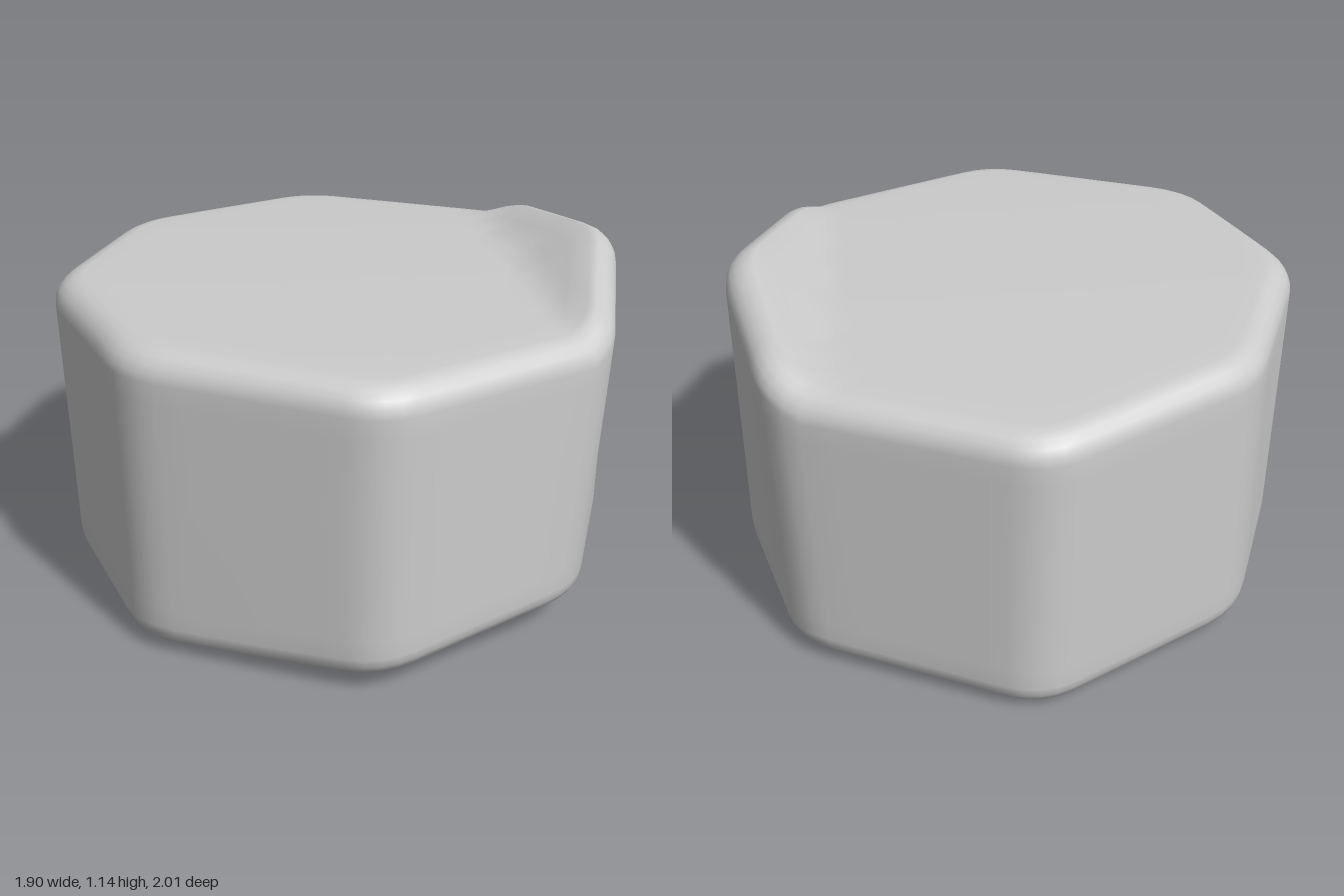
import * as THREE from 'three';

// Corners of the eight-sided block as [x, z], from the back round by +x
const TOP = [[-0.01, -1.03], [0.805, -0.65], [0.965, 0], [0.765, 0.675],
  [0.01, 1.03], [-0.738, 0.66], [-0.972, 0], [-0.7, -0.655]];
const BOTTOM = [[0, -1.03], [0.765, -0.668], [0.965, 0], [0.7, 0.705],
  [0.01, 1.03], [-0.725, 0.66], [-0.95, 0], [-0.7, -0.65]];
const BEVEL = 0.09;

// Uneven top: gentle tilt with the +x corner folded upward
const topY = (x, z) =>
  1.045 - 0.02 * x + 0.025 * z - 0.02 * z * z + 0.55 * Math.max(0, x - 0.64);
// Uneven underside, lowest at the back
const bottomY = (x, z) =>
  0.035 + 0.03 * z + 0.09 * x * Math.max(0, z) + 0.015 * x * x;

// Octagon outline with softly rounded corners
function outline(corners) {
  const pts = [];
  const v = corners.map(([x, z]) => new THREE.Vector2(x, z));
  const n = v.length;
  const toward = (a, b) => a.clone().add(b.clone().sub(a).setLength(0.12));
  v.forEach((c, i) => {
    const next = v[(i + 1) % n];
    const end = toward(c, next);
    const round = new THREE.QuadraticBezierCurve(toward(c, v[(i + n - 1) % n]), c, end);
    pts.push(...round.getPoints(4));
    const nextStart = toward(next, c);
    for (const t of [0.15, 0.5, 0.85]) pts.push(end.clone().lerp(nextStart, t));
  });
  return pts;
}

function blockGeometry() {
  const low = outline(BOTTOM), high = outline(TOP), n = low.length;
  const positions = [], index = [];
  let rings = 0;

  // One ring: outline blended by mix, shrunk by scale, placed by height(x, z)
  const addRing = (mix, scale, height) => {
    for (let j = 0; j < n; j++) {
      const p = low[j].clone().lerp(high[j], mix);
      const x = p.x * scale, z = p.y * scale;
      positions.push(x, height(x, z, p), z);
    }
    rings++;
  };
  const inner = 1 - BEVEL / 0.9;
  const bevelScale = a => 1 - (1 - inner) * (1 - Math.sin(a));
  const lift = a => BEVEL * (1 - Math.cos(a));
  const lowEdge = p => bottomY(p.x * inner, p.y * inner);
  const highEdge = p => topY(p.x * inner, p.y * inner);
  const steps = 5, capRings = 12;

  // Underside, from the centre outward
  for (let i = 0; i < capRings; i++) addRing(0, inner * i / capRings, bottomY);
  // Lower bevel
  for (let i = 0; i <= steps; i++) {
    const a = i / steps * Math.PI / 2;
    addRing(0, bevelScale(a), (x, z, p) => lowEdge(p) + lift(a));
  }
  // Side wall
  for (const t of [0.08, 0.35, 0.65, 0.92]) {
    addRing(t, 1, (x, z, p) =>
      THREE.MathUtils.lerp(lowEdge(p) + BEVEL, highEdge(p) - BEVEL, t));
  }
  // Upper bevel
  for (let i = steps; i >= 0; i--) {
    const a = i / steps * Math.PI / 2;
    addRing(1, bevelScale(a), (x, z, p) => highEdge(p) - lift(a));
  }
  // Top, back to the centre
  for (let i = capRings - 1; i >= 0; i--) addRing(1, inner * i / capRings, topY);

  for (let i = 0; i < rings - 1; i++) {
    for (let j = 0; j < n; j++) {
      const k = (j + 1) % n;
      const a = i * n + j, b = i * n + k, c = a + n, d = b + n;
      index.push(a, c, b, b, c, d);
    }
  }
  const geometry = new THREE.BufferGeometry();
  geometry.setAttribute('position', new THREE.Float32BufferAttribute(positions, 3));
  geometry.setIndex(index);
  geometry.computeVertexNormals();
  return geometry;
}

export function createModel() {
  const group = new THREE.Group();
  group.name = 'stone';
  const block = new THREE.Mesh(blockGeometry(),
    new THREE.MeshStandardMaterial({ color: 0xcccccc }));
  block.name = 'stoneBlock';
  group.add(block);
  return group;
}
